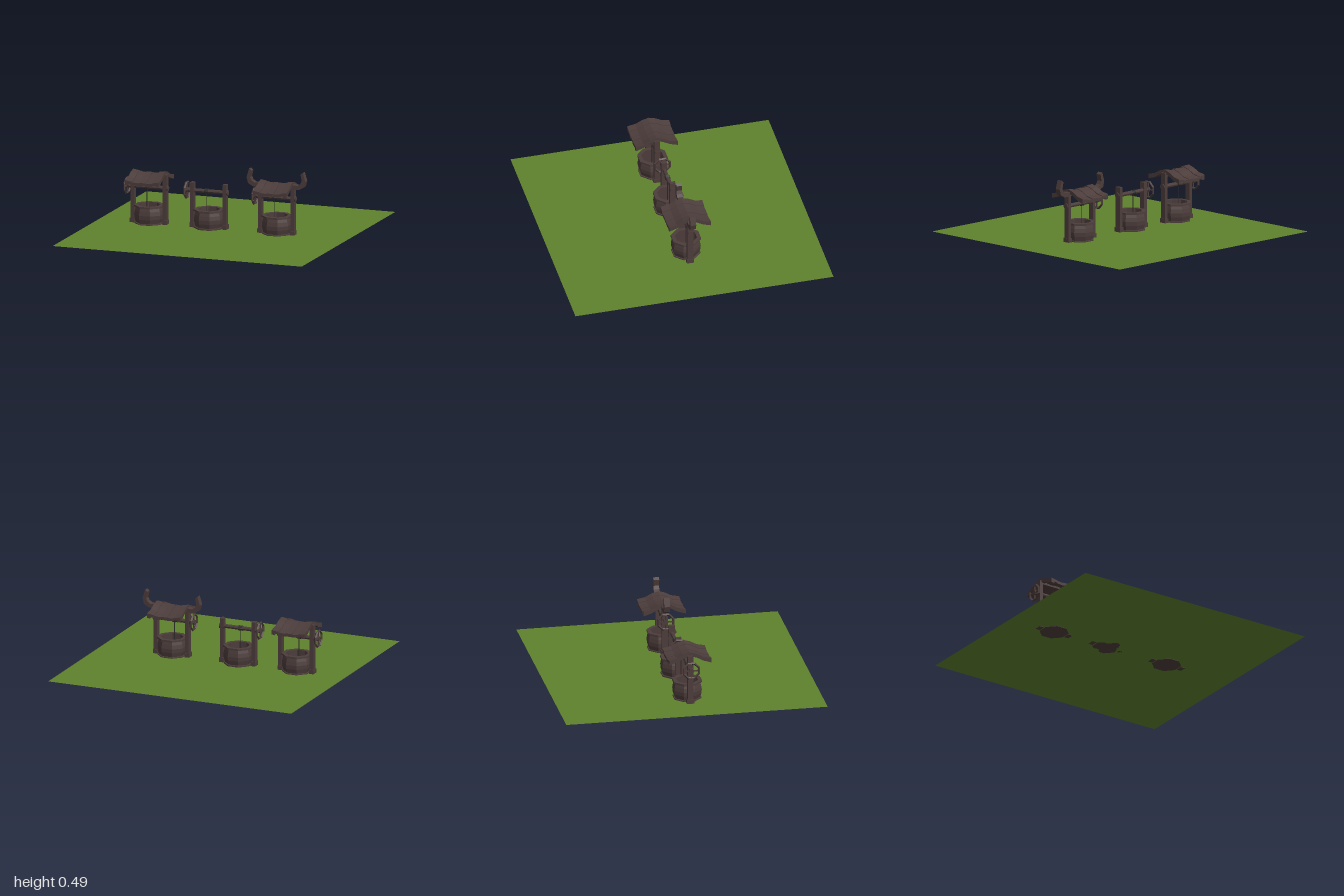
import * as THREE from 'three';

const mat = (name, color, extra = {}) => {
  const m = new THREE.MeshStandardMaterial({ color, flatShading: true, ...extra });
  m.name = name;
  return m;
};

export function createModel() {
  const grass = mat('grass green', 0x5f822c, { side: THREE.DoubleSide });
  const wood = mat('dark wood', 0x4c3d3b);
  const ropeMat = mat('rope', 0x2e2a2a);

  const add = (parent, name, geo, material, x = 0, y = 0, z = 0) => {
    const m = new THREE.Mesh(geo, material);
    m.name = name;
    m.position.set(x, y, z);
    parent.add(m);
    return m;
  };
  const box = (w, h, d) => new THREE.BoxGeometry(w, h, d);
  const shapeOf = (pts) => new THREE.Shape(pts.map(([x, y]) => new THREE.Vector2(x, y)));

  // Octagonal bulging basin with a rim and a hollow inside
  function addBasin(g) {
    const k = 1 / Math.cos(Math.PI / 8);
    const pts = [[0, 0], [0.103, 0], [0.103, 0.01], [0.094, 0.012], [0.103, 0.045], [0.105, 0.075],
      [0.1, 0.105], [0.093, 0.13], [0.107, 0.131], [0.107, 0.145], [0.078, 0.145], [0.078, 0.03], [0, 0.03]];
    const geo = new THREE.LatheGeometry(pts.map(([r, y]) => new THREE.Vector2(r * k, y)), 8, Math.PI / 8);
    add(g, 'basin', geo, wood);
  }

  // Spoked octagonal crank wheel in the yz plane
  function addWheel(g) {
    const wheel = new THREE.Group();
    wheel.name = 'crankWheel';
    wheel.position.set(-0.177, 0.28, 0);
    const ring = new THREE.TorusGeometry(0.062, 0.0095, 4, 8);
    ring.rotateZ(Math.PI / 8);
    ring.rotateY(Math.PI / 2);
    add(wheel, 'wheelRim', ring, wood);
    for (let i = 0; i < 2; i++) {
      add(wheel, 'spoke', box(0.009, 0.122, 0.009), wood).rotation.x = i * Math.PI / 2;
    }
    const hub = new THREE.CylinderGeometry(0.02, 0.02, 0.016, 8);
    hub.rotateZ(Math.PI / 2);
    add(wheel, 'hub', hub, wood);
    g.add(wheel);
  }

  // Posts, axle, rope coil and hanging rope
  function addFrame(g, postTop) {
    for (const s of [-1, 1]) {
      add(g, 'post', box(0.029, postTop, 0.044), wood, s * 0.13, postTop / 2);
      add(g, 'postFoot', box(0.037, 0.035, 0.056), wood, s * 0.13, 0.0175);
      const collar = new THREE.CylinderGeometry(0.022, 0.022, 0.04, 8);
      collar.rotateZ(Math.PI / 2);
      add(g, 'axleCollar', collar, wood, s * 0.133, 0.28);
    }
    const axle = new THREE.CylinderGeometry(0.016, 0.016, 0.325, 8);
    axle.rotateZ(Math.PI / 2);
    add(g, 'axle', axle, wood, -0.012, 0.28);
    for (let i = 0; i < 4; i++) {
      const coil = new THREE.TorusGeometry(0.017, 0.004, 4, 8);
      coil.rotateY(Math.PI / 2);
      add(g, 'ropeCoil', coil, ropeMat, -0.03 + i * 0.008, 0.28);
    }
    add(g, 'rope', new THREE.CylinderGeometry(0.003, 0.003, 0.25, 5), ropeMat, -0.018, 0.155);
    addWheel(g);
  }

  // One curved roof strip for one slope, flared at the eaves and sagging mid-span
  function roofStrip(x0, x1, lift, side, thick) {
    const top = [[0, 0.397], [0.05, 0.382], [0.1, 0.355], [0.162, 0.342]];
    const bottom = top.map(([z, y], i) => [z, y - thick * (i === 3 ? 1.3 : 1)]).reverse();
    const geo = new THREE.ExtrudeGeometry(shapeOf([...top, ...bottom]),
      { depth: x1 - x0, bevelEnabled: false });
    geo.translate(0, 0, x0);
    geo.rotateY(side * Math.PI / 2);
    const p = geo.attributes.position;
    for (let i = 0; i < p.count; i++) {
      const x = p.getX(i), z = Math.abs(p.getZ(i));
      p.setX(i, x * (1 + 0.05 * z / 0.162));
      p.setY(i, p.getY(i) + lift + 0.014 * (x / 0.13) ** 2);
    }
    geo.computeVertexNormals();
    return geo;
  }

  function addRoof(g) {
    const w = 0.26 / 5;
    for (const side of [-1, 1]) {
      for (let i = 0; i < 5; i++) {
        const x0 = -0.13 + i * w;
        add(g, 'roofPlank', roofStrip(x0, x0 + w - 0.001, (i % 2) * -0.004, side, 0.017), wood);
      }
      for (const s of [-1, 1]) {
        add(g, 'rafter', roofStrip(s * 0.117 - 0.012, s * 0.117 + 0.012, -0.012, side, 0.018), wood);
      }
    }
    add(g, 'ridgeBeam', box(0.275, 0.03, 0.044), wood, 0, 0.373);
  }

  // Upturned horn-like ends of the ridge beam
  function addHorns(g) {
    const outline = [[0.12, 0.355], [0.185, 0.356], [0.224, 0.378], [0.236, 0.422], [0.216, 0.49],
      [0.197, 0.475], [0.207, 0.425], [0.195, 0.4], [0.172, 0.386], [0.12, 0.39]];
    for (const s of [-1, 1]) {
      const geo = new THREE.ExtrudeGeometry(shapeOf(outline), { depth: 0.044, bevelEnabled: false });
      geo.translate(0, 0, -0.022);
      if (s < 0) geo.rotateY(Math.PI);
      add(g, 'horn', geo, wood);
    }
  }

  const model = new THREE.Group();
  model.name = 'wells';
  const ground = new THREE.PlaneGeometry(2, 2);
  ground.rotateX(-Math.PI / 2);
  add(model, 'ground', ground, grass, 0, 0.003);

  const wells = [
    { name: 'roofedWell', x: -0.6, y: 0, roof: true },
    { name: 'openWell', x: -0.12, y: 0.003 },
    { name: 'hornedWell', x: 0.425, y: 0, roof: true, horns: true },
  ];
  for (const { name, x, y, roof, horns } of wells) {
    const g = new THREE.Group();
    g.name = name;
    g.position.set(x, y, 0);
    addBasin(g);
    addFrame(g, roof ? 0.385 : 0.343);
    if (roof) addRoof(g);
    if (horns) addHorns(g);
    model.add(g);
  }
  return model;
}
